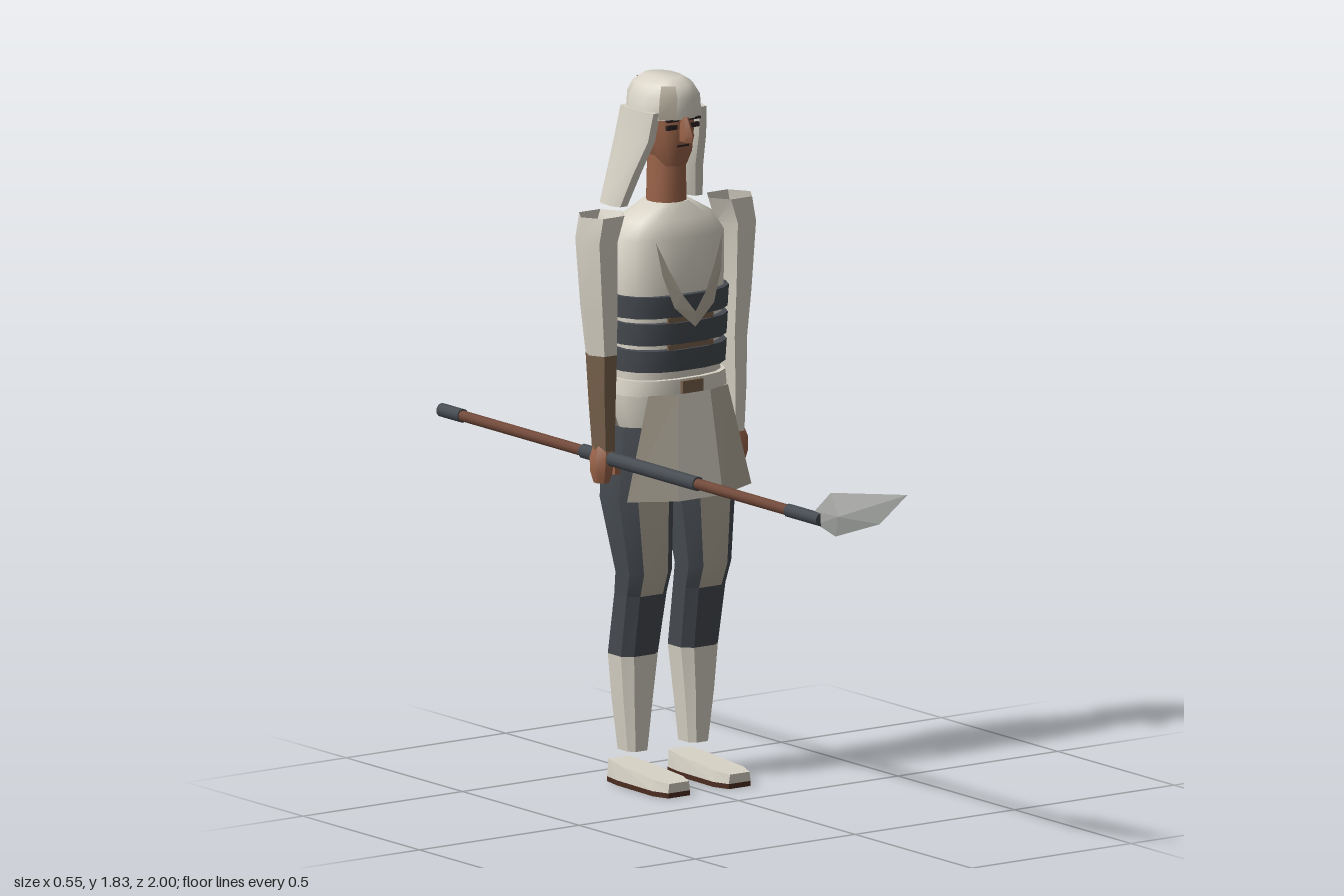
import * as THREE from 'three';
import { toCreasedNormals } from 'three/addons/utils/BufferGeometryUtils.js';

const paint = (name, color, side = THREE.FrontSide) => {
  const m = new THREE.MeshStandardMaterial({ color, side });
  m.name = name;
  return m;
};

export function createModel() {
  const model = new THREE.Group();
  model.name = 'spearBearer';
  const D = THREE.DoubleSide;
  const cream = paint('cream cloth', 0xd8d3c6, D);
  const beige = paint('beige cloth', 0xb3ab9b, D);
  const slate = paint('slate leather', 0x454a50, D);
  const skin = paint('skin', 0x9a6349);
  const sleeve = paint('brown sleeve', 0x78614c, D);
  const wood = paint('wood', 0x6f4737);
  const sole = paint('dark sole', 0x4c2c20);
  const steel = paint('steel', 0xa9aba8, D);
  const ink = paint('dark eyes', 0x2d2321);

  const fromTriangles = (name, mat, pts, crease = 0.01) => {
    const g = new THREE.BufferGeometry();
    g.setAttribute('position', new THREE.Float32BufferAttribute(pts.flat(), 3));
    g.computeVertexNormals();
    const mesh = new THREE.Mesh(toCreasedNormals(g, crease), mat);
    mesh.name = name;
    model.add(mesh);
    return mesh;
  };

  // Stacked cross-sections, bottom to top: [y, centreX, centreZ, radiusX, radiusZ]
  const loft = (name, mat, rings, { n = 12, off = 0.5, p = 1, caps = true, keep = () => true, crease = 0.8 } = {}) => {
    const round = v => Math.sign(v) * Math.abs(v) ** p;
    const at = ([y, cx, cz, rx, rz], j) => {
      const a = ((j + off) / n) * Math.PI * 2;
      return [cx + rx * round(Math.cos(a)), y, cz + rz * round(Math.sin(a))];
    };
    const pts = [];
    const low = rings[0], top = rings[rings.length - 1];
    for (let j = 0; j < n; j++) {
      if (!keep(j)) continue;
      for (let i = 0; i < rings.length - 1; i++) {
        const a = at(rings[i], j), b = at(rings[i], j + 1);
        const c = at(rings[i + 1], j), d = at(rings[i + 1], j + 1);
        pts.push(a, c, b, b, c, d);
      }
      if (caps) {
        pts.push([low[1], low[0], low[2]], at(low, j), at(low, j + 1));
        pts.push([top[1], top[0], top[2]], at(top, j + 1), at(top, j));
      }
    }
    return fromTriangles(name, mat, pts, crease);
  };

  const box = (name, mat, w, h, d, x, y, z) => {
    const mesh = new THREE.Mesh(new THREE.BoxGeometry(w, h, d), mat);
    mesh.name = name;
    mesh.position.set(x, y, z);
    model.add(mesh);
    return mesh;
  };

  // Ribbon between two rows of points
  const ribbon = (name, mat, upper, lower) => {
    const pts = [];
    for (let i = 0; i < upper.length - 1; i++)
      pts.push(upper[i], lower[i], upper[i + 1], lower[i], lower[i + 1], upper[i + 1]);
    return fromTriangles(name, mat, pts);
  };

  // Torso, chest bands and belt
  const Z = -0.313;
  loft('torso', cream, [
    [0.92, 0, Z, 0.125, 0.085], [1.0, 0, Z, 0.155, 0.098], [1.12, 0, Z, 0.142, 0.094],
    [1.28, 0, Z, 0.158, 0.1], [1.42, 0, Z, 0.16, 0.098], [1.465, 0, Z, 0.13, 0.082], [1.505, 0, Z, 0.06, 0.055],
  ], { n: 16, p: 0.8 });
  [1.082, 1.152, 1.222].forEach((y, i) => {
    const w = 0.158 + i * 0.004;
    loft('chestBand', slate, [[y, 0, -0.317, w, 0.118], [y + 0.056, 0, -0.317, w + 0.003, 0.122]], { n: 16, p: 0.8 });
    if (i < 2) box('bandLining', sleeve, 0.14, 0.014, 0.008, 0, y + 0.063, -0.208);
  });
  loft('belt', cream, [[1.02, 0, -0.311, 0.163, 0.108], [1.06, 0, -0.311, 0.158, 0.108]], { n: 16, p: 0.8 });
  box('buckle', sleeve, 0.065, 0.036, 0.012, 0, 1.038, -0.2);

  // Apron, hanging in three facets
  const apronTop = [[-0.125, 1.025, -0.217], [-0.05, 1.025, -0.19], [0.05, 1.025, -0.19], [0.125, 1.025, -0.217]];
  const apronHem = [[-0.195, 0.76, -0.212], [-0.07, 0.755, -0.163], [0.07, 0.755, -0.163], [0.195, 0.76, -0.212]];
  [beige, cream, beige].forEach((mat, i) =>
    ribbon('apron', mat, apronTop.slice(i, i + 2), apronHem.slice(i, i + 2)));

  // Neck, head and face
  loft('neck', skin, [[1.47, 0, -0.31, 0.053, 0.053], [1.66, 0, -0.31, 0.047, 0.05]]);
  loft('head', skin, [
    [1.6, 0, -0.29, 0.034, 0.042], [1.635, 0, -0.3, 0.053, 0.062],
    [1.7, 0, -0.315, 0.064, 0.08], [1.78, 0, -0.32, 0.066, 0.08],
  ], { p: 0.85 });
  loft('nose', skin, [[1.668, 0, -0.225, 0.014, 0.024], [1.685, 0, -0.222, 0.016, 0.026], [1.73, 0, -0.232, 0.009, 0.012]], { n: 6 });
  box('mouth', ink, 0.036, 0.005, 0.008, 0, 1.655, -0.241);
  for (const s of [-1, 1]) {
    box('eye', ink, 0.032, 0.012, 0.009, s * 0.034, 1.705, -0.241);
    box('brow', ink, 0.036, 0.006, 0.009, s * 0.034, 1.723, -0.238);
  }

  // Hood cap with patches
  const cap = [[1.725, 0, -0.322, 0.092, 0.096], [1.78, 0, -0.322, 0.086, 0.096], [1.808, 0, -0.325, 0.068, 0.084], [1.825, 0, -0.328, 0.042, 0.058]];
  loft('hood', cream, cap, { p: 0.9 });
  loft('hoodPatch', beige, cap.slice(0, 3).map(([y, x, z, rx, rz]) => [y + 0.002, x, z, rx + 0.002, rz + 0.002]),
    { p: 0.9, caps: false, keep: j => j === 3 || j === 8 });

  // Spear, lying along z in the right hand
  const rod = (name, mat, r, z0, z1) => {
    const mesh = new THREE.Mesh(new THREE.CylinderGeometry(r, r, z1 - z0, 10), mat);
    mesh.name = name;
    mesh.rotation.x = Math.PI / 2;
    mesh.position.set(-0.2, 0.863, (z0 + z1) / 2);
    model.add(mesh);
  };
  rod('spearShaft', wood, 0.0145, -0.98, 0.6);
  rod('spearButt', slate, 0.018, -1, -0.91);
  rod('spearGrip', slate, 0.019, -0.39, 0.1);
  rod('spearSocket', slate, 0.0175, 0.49, 0.63);
  const edge = [[0.6, 0.88], [0.67, 0.94], [1, 0.992], [0.88, 0.895], [0.69, 0.83], [0.61, 0.848]];
  const blade = [];
  edge.forEach(([z, y], i) => {
    const [z2, y2] = edge[(i + 1) % edge.length];
    const a = [-0.2, y, z], b = [-0.2, y2, z2];
    blade.push(a, b, [-0.186, 0.888, 0.72], b, a, [-0.214, 0.888, 0.72]);
  });
  fromTriangles('spearBlade', steel, blade);

  // Paired parts; s = 1 is the model's left
  for (const s of [-1, 1]) {
    // Hood side drape
    loft('hoodDrape', cream, [
      [1.495, s * 0.118, -0.375, 0.022, 0.046], [1.58, s * 0.098, -0.358, 0.024, 0.058],
      [1.67, s * 0.08, -0.335, 0.022, 0.075], [1.745, s * 0.073, -0.322, 0.02, 0.075],
    ], { n: 8, p: 0.7, crease: 0.5 });

    // Scarf lapel
    ribbon('scarf', beige,
      [[s * 0.104, 1.42, -0.212], [s * 0.07, 1.345, -0.2], [s * 0.035, 1.28, -0.19], [0, 1.235, -0.185]],
      [[s * 0.104, 1.42, -0.212], [s * 0.092, 1.335, -0.2], [s * 0.062, 1.25, -0.19], [0, 1.195, -0.185]]);

    // Arm: open shoulder sleeve, forearm, hand
    const fore = [[0.88, s * 0.203, -0.302, 0.028, 0.034], [1.0, s * 0.205, -0.305, 0.034, 0.04], [1.13, s * 0.204, -0.31, 0.039, 0.047]];
    loft('upperArm', cream, [
      fore[2], [1.25, s * 0.21, -0.312, 0.047, 0.055],
      [1.425, s * 0.217, -0.313, 0.057, 0.06], [1.49, s * 0.2, -0.313, 0.066, 0.06],
    ], { n: 6, off: 0, caps: false, crease: 0.3 });
    loft('forearm', s < 0 ? sleeve : cream, fore, { n: 6, off: 0, caps: false, crease: 0.3 });
    loft('hand', skin, [
      [0.8, s * 0.212, -0.298, 0.02, 0.022], [0.83, s * 0.211, -0.298, 0.03, 0.032],
      [0.865, s * 0.208, -0.3, 0.033, 0.034], [0.9, s * 0.203, -0.302, 0.024, 0.028],
    ], { n: 8, crease: 0.5 });
    box('thumb', skin, 0.016, 0.045, 0.018, s * 0.188, 0.845, -0.27);

    // Leg: thigh with light front and back panels, knee, gaiter
    const knee = [[0.34, s * 0.094, -0.325, 0.061, 0.053], [0.5, s * 0.092, -0.295, 0.066, 0.05]];
    const thigh = [knee[1], [0.56, s * 0.093, -0.28, 0.07, 0.056], [0.75, s * 0.097, -0.305, 0.09, 0.077], [0.94, s * 0.085, -0.317, 0.083, 0.088]];
    const leg = { n: 8, p: 0.65, caps: false, crease: 0.45 };
    const panel = j => j === 1 || j === 5;
    loft('thigh', slate, thigh, { ...leg, keep: j => !panel(j) });
    loft('thighPanel', beige, thigh, { ...leg, keep: panel });
    loft('knee', slate, knee, leg);
    loft('gaiter', cream, [[0.09, s * 0.095, -0.325, 0.033, 0.04], [0.22, s * 0.096, -0.325, 0.048, 0.048], knee[0]], { ...leg, caps: true });

    // Shoe, sloping down from heel to toe, on a dark sole
    const outline = [[-0.034, -0.125], [0.034, -0.125], [0.05, -0.17], [0.046, -0.33], [0.036, -0.385], [-0.036, -0.385], [-0.046, -0.33], [-0.05, -0.17]];
    const slab = (name, mat, y0, height) => {
      const pts = [];
      const at = ([x, z], up) => [s * 0.095 + x * (up && mat === cream ? 0.9 : 1), up ? height(z) : y0, z];
      outline.forEach((o, i) => {
        const q = outline[(i + 1) % outline.length];
        const a = at(o), b = at(q), c = at(o, 1), d = at(q, 1);
        pts.push(a, b, c, b, d, c, at([0, -0.26], 1), c, d, at([0, -0.26]), b, a);
      });
      fromTriangles(name, mat, pts);
    };
    slab('shoeSole', sole, 0, () => 0.013);
    slab('shoe', cream, 0.013, z => 0.037 - (z + 0.125) * 0.08);
  }
  return model;
}
